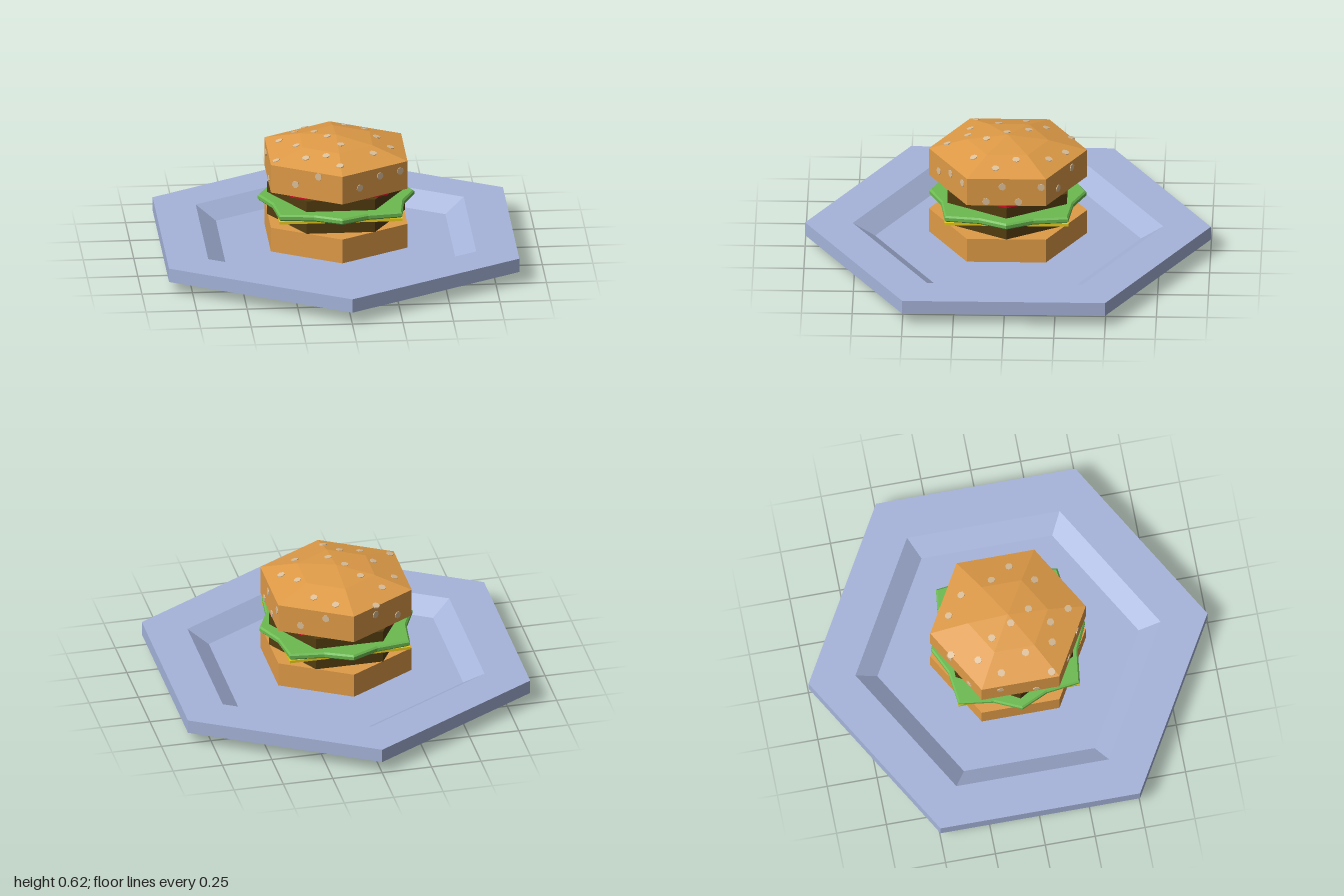
import * as THREE from 'three';

const RAD = Math.PI / 180;
const mat = (name, color) => {
  const m = new THREE.MeshStandardMaterial({ color });
  m.name = name;
  return m;
};

// Faceted copy of a geometry
function faceted(geo) {
  const g = geo.index ? geo.toNonIndexed() : geo;
  g.computeVertexNormals();
  return g;
}

// Solid turned from [radius, height] pairs, listed from bottom to top
function turned(profile, sides, startDeg = 0) {
  const pts = profile.map(([r, y]) => new THREE.Vector2(r, y));
  return faceted(new THREE.LatheGeometry(pts, sides, startDeg * RAD));
}

const slab = (r, y0, y1) => [[0, y0], [r, y0], [r, y1], [0, y1]];

export function createModel() {
  const model = new THREE.Group();
  model.name = 'burgerOnPlate';
  const plateBlue = mat('plateBlue', 0xa6b4da);
  const bunBrown = mat('bunBrown', 0xdf9b47);
  const pattyBrown = mat('pattyBrown', 0x523c10);
  const cheeseYellow = mat('cheeseYellow', 0xe6cb1c);
  const lettuceGreen = mat('lettuceGreen', 0x6cbb50);
  const tomatoRed = mat('tomatoRed', 0xd80a26);
  const seedCream = mat('seedCream', 0xdcc09a);

  const add = (name, geo, material, parent = model) => {
    const mesh = new THREE.Mesh(geo, material);
    mesh.name = name;
    parent.add(mesh);
    return mesh;
  };

  // Hexagonal plate with a sunken floor
  add('plate', turned([
    [0, 0], [0.655, 0], [0.765, 0.06], [1, 0.06], [1, 0.13],
    [0.765, 0.13], [0.655, 0.062], [0, 0.062],
  ], 6), plateBlue);

  // Bottom bun with a tucked-in base
  add('bottomBun', turned([[0, 0.062], [0.31, 0.062], [0.39, 0.09], [0.39, 0.215], [0, 0.215]], 6), bunBrown);

  // Two patties, turned 30 degrees against the buns
  add('lowerPatty', turned(slab(0.34, 0.215, 0.272), 6, 30), pattyBrown);
  add('upperPatty', turned(slab(0.34, 0.33, 0.386), 6, 30), pattyBrown);

  // Square cheese slice
  add('cheese', new THREE.BoxGeometry(0.61, 0.014, 0.61), cheeseYellow).position.y = 0.279;

  // Lettuce leaf with a pointed outline
  const leaf = new THREE.Shape();
  for (let i = 0; i < 16; i++) {
    const r = i % 2 ? 0.352 : i % 4 ? 0.43 : 0.387;
    const a = i * 22.5 * RAD;
    leaf[i ? 'lineTo' : 'moveTo'](r * Math.cos(a), r * Math.sin(a));
  }
  const leafGeo = new THREE.ExtrudeGeometry(leaf, {
    depth: 0.016, bevelThickness: 0.008, bevelSize: 0.008, bevelOffset: -0.008, bevelSegments: 1,
  });
  leafGeo.rotateX(-Math.PI / 2).translate(0, 0.296, 0);
  add('lettuce', leafGeo, lettuceGreen);
  add('lettuceCrown', turned([[0.22, 0.317], [0.1, 0.33], [0, 0.33]], 8), lettuceGreen);

  // Eight-sided tomato slice
  add('tomato', turned(slab(0.335, 0.385, 0.402), 8), tomatoRed);

  // Domed top bun
  const dome = [[0.39, 0.545], [0.2, 0.597], [0, 0.623]];
  add('topBun', turned([[0, 0.4], [0.39, 0.4], ...dome], 6), bunBrown);

  // Sesame seeds lie on the facets as thin discs
  const seeds = new THREE.Group();
  seeds.name = 'sesameSeeds';
  model.add(seeds);
  const seedGeo = faceted(new THREE.CylinderGeometry(0.019, 0.019, 0.007, 7));
  const up = new THREE.Vector3(0, 1, 0);
  const addSeed = (position, normal) => {
    const seed = add('seed', seedGeo, seedCream, seeds);
    seed.position.copy(position);
    seed.quaternion.setFromUnitVectors(up, normal.normalize());
  };

  // Dome seeds, as [x, z]
  const domeSeeds = [
    [-0.19, -0.185], [-0.13, -0.31], [0.068, -0.285], [0.16, -0.205], [-0.275, -0.085],
    [-0.1, -0.1], [0.205, -0.045], [-0.2, 0.05], [-0.045, 0.005], [0.265, 0.055],
    [0.015, 0.105], [0.17, 0.165], [-0.31, 0.16], [-0.165, 0.19], [-0.065, 0.2], [-0.005, 0.3],
  ];
  for (const [x, z] of domeSeeds) {
    const a = (Math.floor(Math.atan2(x, z) / RAD / 60) * 60 + 30) * RAD;
    const r = (x * Math.sin(a) + z * Math.cos(a)) / Math.cos(30 * RAD);
    const [low, high] = r > dome[1][0] ? [dome[0], dome[1]] : [dome[1], dome[2]];
    const slope = (high[1] - low[1]) / (low[0] - high[0]);
    const y = high[1] - (r - high[0]) * slope;
    const tilt = slope / Math.cos(30 * RAD);
    addSeed(new THREE.Vector3(x, y, z), new THREE.Vector3(Math.sin(a) * tilt, 1, Math.cos(a) * tilt));
  }

  // Side seeds, as [facet angle, offset along the facet, height]
  const sideSeeds = [
    [30, 0.151, 0.503], [30, 0.03, 0.503], [30, -0.091, 0.465],
    [-30, -0.06, 0.465], [-30, 0.065, 0.525],
    [90, -0.1, 0.422], [90, -0.02, 0.503], [90, 0.06, 0.422], [90, 0.172, 0.503],
    [150, -0.08, 0.45], [150, 0.05, 0.51], [210, 0.1, 0.44], [210, -0.05, 0.5],
    [270, -0.1, 0.5], [270, 0.08, 0.43],
  ];
  const reach = 0.39 * Math.cos(30 * RAD);
  for (const [deg, u, y] of sideSeeds) {
    const s = Math.sin(deg * RAD), c = Math.cos(deg * RAD);
    addSeed(new THREE.Vector3(s * reach + c * u, y, c * reach - s * u), new THREE.Vector3(s, 0, c));
  }

  return model;
}
